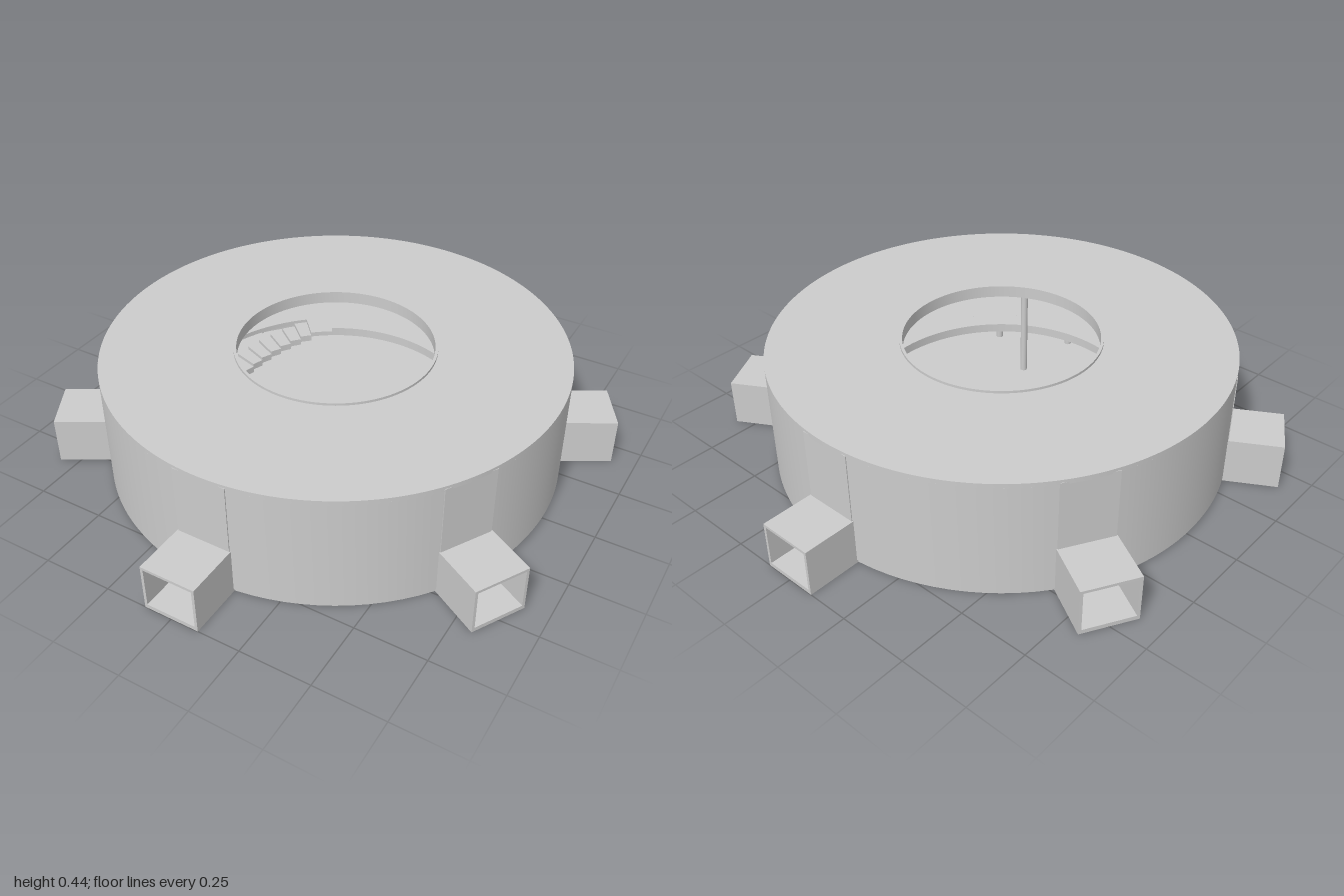
import * as THREE from 'three';
import { toCreasedNormals } from 'three/addons/utils/BufferGeometryUtils.js';

const material = new THREE.MeshStandardMaterial({ color: 0xcccccc });
const rad = THREE.MathUtils.degToRad;

function add(parent, name, geometry, x = 0, y = 0, z = 0) {
  const mesh = new THREE.Mesh(geometry, material);
  mesh.name = name;
  mesh.position.set(x, y, z);
  parent.add(mesh);
  return mesh;
}

// Ring or ring sector; angles in degrees from +z towards +x
function ring(rIn, rOut, y0, y1, from = 0, to = 360) {
  const shape = new THREE.Shape();
  const a = rad(from - 90), b = rad(to - 90);
  if (to - from >= 360) {
    shape.absarc(0, 0, rOut, 0, Math.PI * 2, false);
    const hole = new THREE.Path();
    hole.absarc(0, 0, rIn, 0, Math.PI * 2, true);
    shape.holes.push(hole);
  } else {
    shape.absarc(0, 0, rOut, a, b, false);
    shape.absarc(0, 0, rIn, b, a, true);
    shape.closePath();
  }
  const geometry = new THREE.ExtrudeGeometry(shape, {
    depth: y1 - y0,
    bevelEnabled: false,
    curveSegments: Math.max(3, Math.round((to - from) / 3.75)),
  });
  geometry.rotateX(-Math.PI / 2);
  geometry.translate(0, y0, 0);
  return toCreasedNormals(geometry, 0.5);
}

// Box given by its limits
function block(parent, name, x0, x1, y0, y1, z0, z1) {
  return add(parent, name, new THREE.BoxGeometry(x1 - x0, y1 - y0, z1 - z0),
    (x0 + x1) / 2, (y0 + y1) / 2, (z0 + z1) / 2);
}

// Square entrance tunnel with the flat wall panel above it
function entrance() {
  const g = new THREE.Group();
  g.name = 'entrance';
  block(g, 'tunnelFloor', -0.1, 0.1, 0, 0.015, 0.795, 1);
  block(g, 'tunnelRoof', -0.1, 0.1, 0.162, 0.172, 0.79, 1);
  for (const s of [-1, 1]) {
    block(g, 'tunnelWall', s * 0.095 - 0.005, s * 0.095 + 0.005, 0.015, 0.162, 0.79, 1);
  }
  block(g, 'doorPanel', -0.096, 0.096, 0.172, 0.425, 0.79, 0.812);
  return g;
}

export function createModel() {
  const model = new THREE.Group();
  model.name = 'roundHall';

  // Base and roof with its round opening
  add(model, 'basePlate', new THREE.CylinderGeometry(0.81, 0.81, 0.015, 96), 0, 0.0075, 0);
  add(model, 'roof', ring(0.35, 0.815, 0.418, 0.435));
  add(model, 'openingCollar', ring(0.345, 0.355, 0.4, 0.444));

  // Outer wall segments and entrances
  for (let i = 0; i < 6; i++) {
    add(model, 'wallSegment', ring(0.8, 0.815, 0.012, 0.42, i * 60 + 6.8, i * 60 + 53.2));
    const e = entrance();
    e.rotation.y = rad(i * 60);
    model.add(e);
  }

  // Gallery with a stairwell cut out and a low kerb
  add(model, 'galleryFloor', ring(0.58, 0.8, 0.167, 0.185));
  add(model, 'galleryInnerFloor', ring(0.48, 0.58, 0.167, 0.185, -70, 222));
  add(model, 'galleryKerb', ring(0.48, 0.49, 0.185, 0.2, -70, 212));

  // Curved stairs
  const steps = 13, sweep = 66 / steps;
  for (let i = 0; i < steps; i++) {
    const top = 0.185 - (i + 1) * 0.17 / (steps + 1);
    add(model, 'stairStep',
      ring(0.48, 0.58, Math.max(0.012, top - 0.025), top, 222 + i * sweep, 222 + (i + 1) * sweep));
  }

  // Columns under the gallery, in pairs between the entrances
  for (let i = 0; i < 6; i++) {
    for (const offset of [18, 42]) {
      const a = i * 60 + offset;
      if (a === 198) continue;
      add(model, 'galleryColumn', new THREE.CylinderGeometry(0.014, 0.014, 0.155, 12),
        0.7 * Math.sin(rad(a)), 0.0915, 0.7 * Math.cos(rad(a)));
    }
  }

  // Tall pole from floor to roof
  add(model, 'pole', new THREE.CylinderGeometry(0.013, 0.013, 0.405, 16), 0.225, 0.2165, 0.39);

  // Central platform with a small block
  add(model, 'platform', new THREE.CylinderGeometry(0.13, 0.13, 0.022, 48), 0, 0.025, 0);
  block(model, 'platformBlock', -0.013, 0.013, 0.035, 0.055, 0.07, 0.094);

  return model;
}
